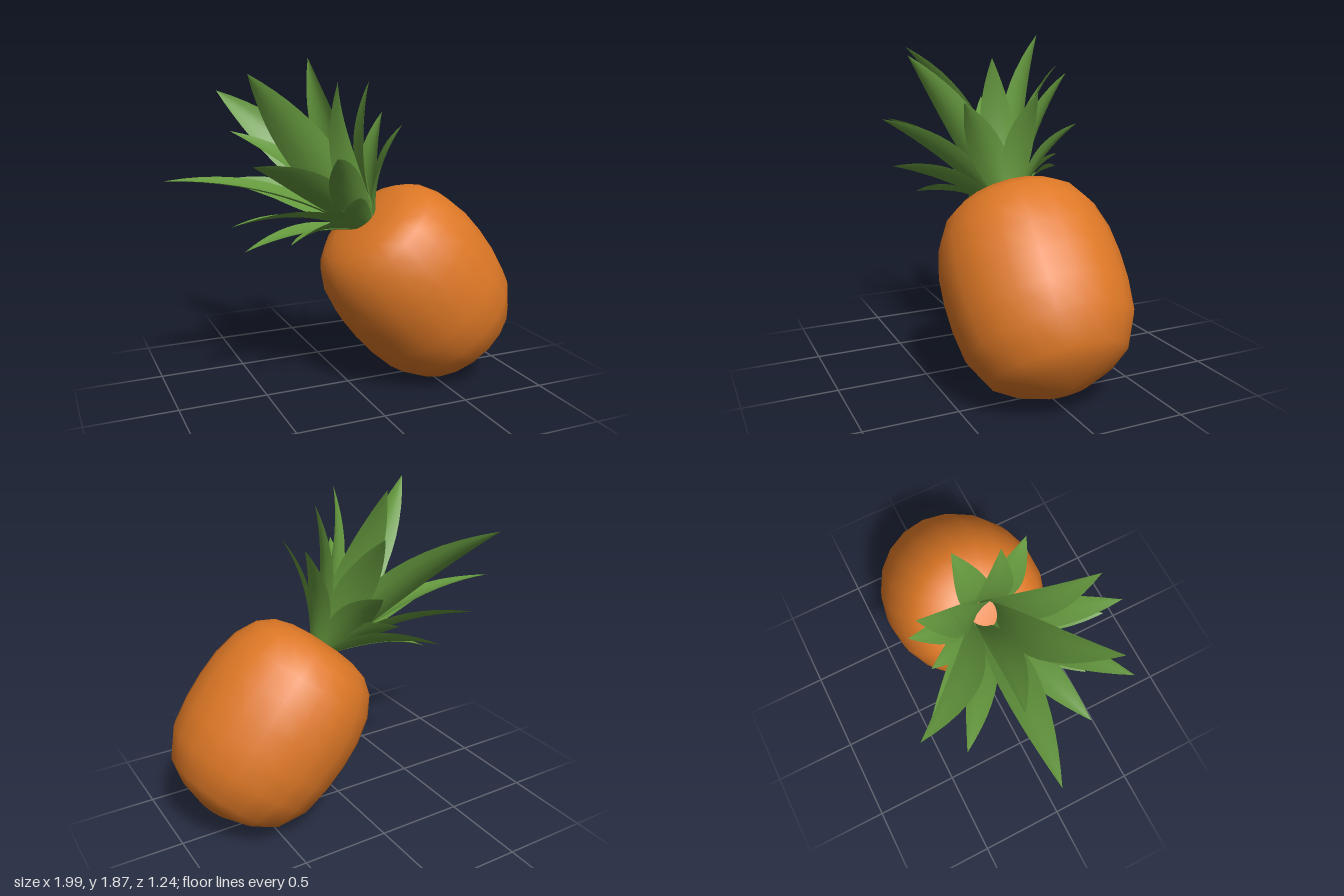
import * as THREE from 'three';

const TILT = THREE.MathUtils.degToRad(40);
const AXIS = new THREE.Vector3(-Math.sin(TILT), Math.cos(TILT), 0);
const ORIGIN = new THREE.Vector3(0.536, 0.447, 0.035);

// Half width along the leaf, from a narrow foot through a broad middle to a point
function leafTaper(t) {
  if (t < 0.42) return 0.45 + 0.55 * Math.sin((t / 0.42) * Math.PI / 2);
  const q = Math.min(1, (t - 0.42) / 0.58);
  return 1 - Math.pow(q, 1.8);
}

// Curved, cupped leaf; its width lies around the fruit axis
function leafGeometry(tip, halfWidth, ringRadius) {
  const crown = ORIGIN.clone().addScaledVector(AXIS, 0.69);
  const outward = tip.clone().sub(crown);
  outward.addScaledVector(AXIS, -outward.dot(AXIS)).normalize();
  const base = crown.addScaledVector(outward, ringRadius);
  const chord = tip.clone().sub(base);
  const length = chord.length();
  chord.normalize();
  const bend = AXIS.clone().addScaledVector(chord, -AXIS.dot(chord)).normalize();
  const side = new THREE.Vector3().crossVectors(chord, bend);
  const control = base.clone().lerp(tip, 0.5).addScaledVector(bend, 0.15 * length);
  const spine = new THREE.QuadraticBezierCurve3(base, control, tip);

  const rows = 12, cols = 4;
  const positions = [], indices = [];
  for (let i = 0; i <= rows; i++) {
    const t = i / rows;
    const p = spine.getPoint(t);
    const w = halfWidth * leafTaper(t);
    for (let j = 0; j <= cols; j++) {
      const s = (j / cols) * 2 - 1;
      const v = p.clone().addScaledVector(side, s * w).addScaledVector(bend, 0.25 * w * s * s);
      positions.push(v.x, v.y, v.z);
      if (i < rows && j < cols) {
        const a = i * (cols + 1) + j, b = a + cols + 1;
        indices.push(a, a + 1, b);
        if (i < rows - 1) indices.push(a + 1, b + 1, b);
      }
    }
  }
  const geometry = new THREE.BufferGeometry();
  geometry.setAttribute('position', new THREE.Float32BufferAttribute(positions, 3));
  geometry.setIndex(indices);
  geometry.computeVertexNormals();
  return geometry;
}

export function createModel() {
  const model = new THREE.Group();
  model.name = 'pineapple';
  const orange = new THREE.MeshStandardMaterial({ name: 'orange rind', color: 0xde7826 });
  const green = new THREE.MeshStandardMaterial({ name: 'leaf green', color: 0x65993e, side: THREE.DoubleSide });

  // Fruit: smooth barrel lying at a tilt
  const profile = [
    [0, -0.4], [0.11, -0.39], [0.26, -0.335], [0.365, -0.265], [0.45, -0.11], [0.475, 0.05], [0.482, 0.2],
    [0.475, 0.35], [0.442, 0.5], [0.38, 0.615], [0.3, 0.68], [0.2, 0.71], [0.08, 0.722], [0, 0.722],
  ].map(([r, y]) => new THREE.Vector2(r, y));
  const fruit = new THREE.Mesh(new THREE.LatheGeometry(profile, 20), orange);
  fruit.name = 'fruit';
  fruit.rotation.z = TILT;
  fruit.position.copy(ORIGIN);
  model.add(fruit);

  // Crown: leaf tip x, y, z and half width
  const crown = new THREE.Group();
  crown.name = 'crown';
  const leaves = [
    [-0.67, 1.81, 0.36, 0.125], [-0.14, 1.88, -0.25, 0.11], [-0.26, 1.77, 0.48, 0.11],
    [0.07, 1.76, 0.12, 0.1], [-0.04, 1.67, -0.39, 0.1], [0.24, 1.58, -0.07, 0.095],
    [0.17, 1.54, 0.32, 0.095], [-0.64, 1.5, -0.115, 0.1], [-0.69, 1.385, 0.48, 0.1],
    [-1.0, 1.255, -0.09, 0.11], [-0.32, 1.42, 0.62, 0.1], [-0.27, 1.16, 0.58, 0.09],
    [-0.58, 1.69, -0.62, 0.12], [-0.62, 1.19, -0.42, 0.1], [-0.74, 1.055, 0.25, 0.1],
    [-0.475, 0.965, 0.38, 0.085], [-0.6, 0.85, -0.02, 0.09], [-0.34, 1.08, -0.49, 0.085],
    [0.0, 1.38, -0.44, 0.09], [-0.14, 1.19, -0.39, 0.08],
  ];
  leaves.forEach(([x, y, z, w], i) => {
    const leaf = new THREE.Mesh(leafGeometry(new THREE.Vector3(x, y, z), w, 0.07), green);
    leaf.name = `leaf${i + 1}`;
    crown.add(leaf);
  });
  model.add(crown);
  return model;
}
